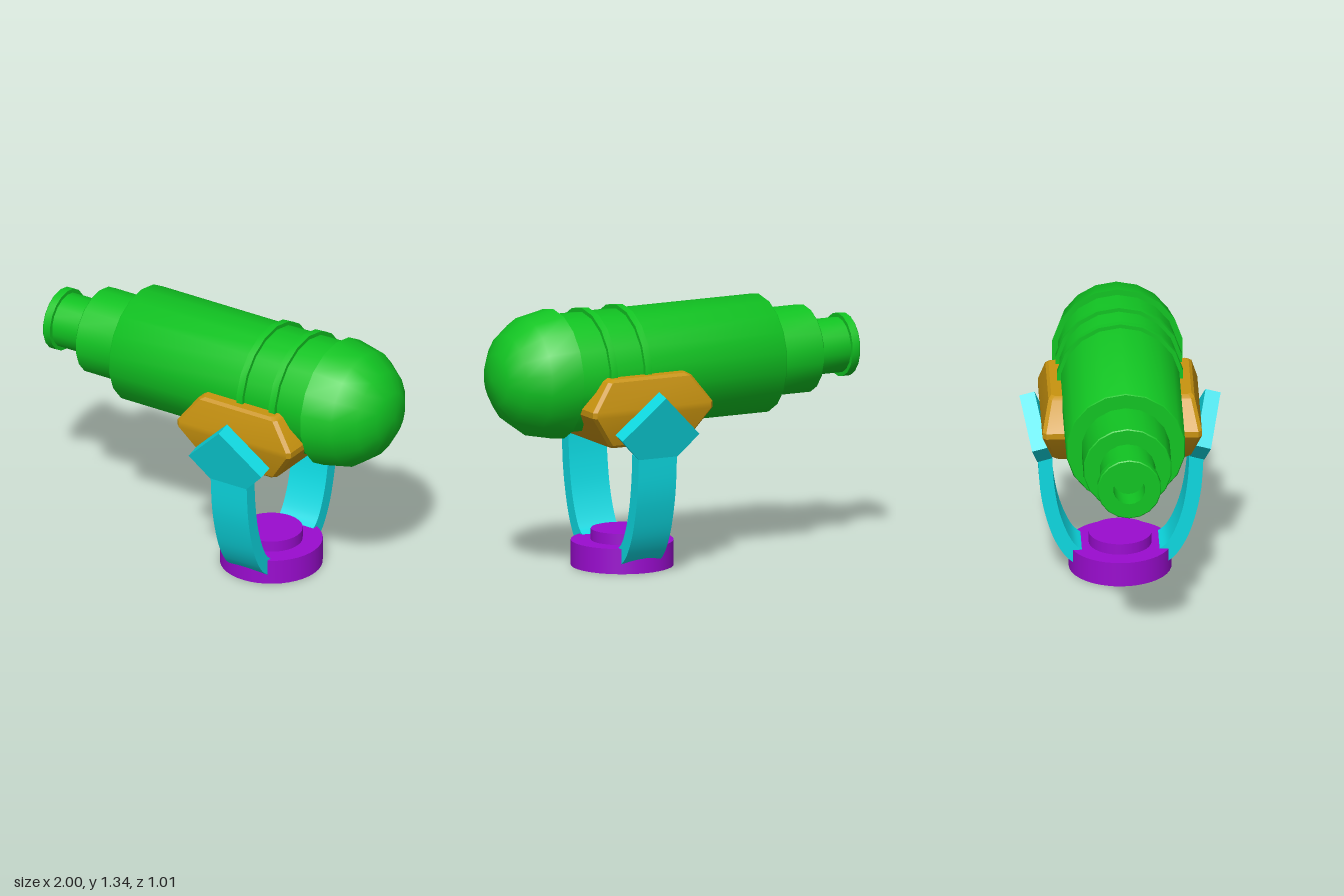
import * as THREE from 'three';
import { toCreasedNormals } from 'three/addons/utils/BufferGeometryUtils.js';

const paint = (color) => new THREE.MeshStandardMaterial({ color });
const GREEN = paint(0x11c422), ORANGE = paint(0xc8930f), CYAN = paint(0x0cd8e0), PURPLE = paint(0x9a0ccf);

function part(name, geometry, material) {
  const mesh = new THREE.Mesh(geometry, material);
  mesh.name = name;
  return mesh;
}

// Turned part lying along x, from [x, radius] pairs
function turned(name, profile) {
  const pts = profile.map(([x, r]) => new THREE.Vector2(r, x));
  const geo = new THREE.LatheGeometry(pts, 18, Math.PI / 2);
  geo.rotateZ(-Math.PI / 2).translate(0, 1.005, 0);
  return part(name, toCreasedNormals(geo, 0.72), GREEN);
}

// Stack of corner-cut rectangles: rows of [y, half x, half z]
function loftedBlock(rows, cut) {
  const pos = [], idx = [];
  for (const [y, a, b] of rows) {
    const ring = [[a, b - cut], [a - cut, b], [cut - a, b], [-a, b - cut],
      [-a, cut - b], [cut - a, -b], [a - cut, -b], [a, cut - b]];
    for (const [x, z] of ring) pos.push(x, y, z);
  }
  const n = 8, last = (rows.length - 1) * n;
  for (let r = 0; r < last; r += n) {
    for (let i = 0; i < n; i++) {
      const j = (i + 1) % n;
      idx.push(r + i, r + n + i, r + j, r + j, r + n + i, r + n + j);
    }
  }
  for (let i = 1; i < n - 1; i++) {
    idx.push(0, i, i + 1, last, last + i + 1, last + i);
  }
  const geo = new THREE.BufferGeometry();
  geo.setAttribute('position', new THREE.Float32BufferAttribute(pos, 3));
  geo.setIndex(idx);
  return toCreasedNormals(geo, 0.4);
}

// One side of the fork: curved arm and tilted pointed plate
function forkSide(name) {
  const side = new THREE.Group();
  side.name = name;
  const spline = (pts) => new THREE.SplineCurve(pts.map(([z, y]) => new THREE.Vector2(z, y))).getPoints(20);
  const outer = spline([[0.225, 0.05], [0.28, 0.1], [0.337, 0.2], [0.378, 0.33], [0.402, 0.46], [0.413, 0.62]]);
  const inner = spline([[0.342, 0.63], [0.334, 0.5], [0.312, 0.36], [0.278, 0.25], [0.235, 0.165], [0.19, 0.125]]);
  const arm = new THREE.ExtrudeGeometry(new THREE.Shape([...outer, ...inner]), { depth: 0.215, bevelEnabled: false });
  arm.translate(0, 0, -0.1075).rotateY(-Math.PI / 2);
  side.add(part('forkArm', toCreasedNormals(arm, 0.5), CYAN));

  const outline = [[-0.108, 0], [0.108, 0], [0.217, 0.113], [0, 0.33], [-0.217, 0.113]];
  const shape = new THREE.Shape(outline.map(([x, y]) => new THREE.Vector2(x, y)));
  const plate = part('forkPlate', new THREE.ExtrudeGeometry(shape, { depth: 0.078, bevelEnabled: false }), CYAN);
  plate.rotation.x = THREE.MathUtils.degToRad(15);
  plate.position.set(0, 0.635, 0.342);
  side.add(plate);
  side.position.x = 0.278;
  return side;
}

export function createModel() {
  const model = new THREE.Group();
  model.name = 'mountedCannon';

  // Stepped barrel with a bore at the narrow end and a domed cap
  model.add(turned('barrel', [
    [-0.88, 0], [-0.88, 0.08], [-1, 0.08], [-1, 0.155], [-0.995, 0.16], [-0.955, 0.16], [-0.955, 0.14],
    [-0.765, 0.14], [-0.765, 0.217], [-0.76, 0.222], [-0.515, 0.222], [-0.515, 0.295], [-0.508, 0.3],
    [0.65, 0.3], [0.65, 0],
  ]));
  model.add(turned('domedCap', [
    [0.65, 0], [0.65, 0.33], [0.81, 0.298], [0.915, 0.222], [0.975, 0.13], [1, 0],
  ]));
  for (const x of [0.278, 0.471]) {
    model.add(turned('barrelBand', [
      [x - 0.018, 0.28], [x - 0.018, 0.32], [x + 0.018, 0.32], [x + 0.018, 0.28],
    ]));
  }

  // Cradle block under the barrel
  const cradle = part('cradle', loftedBlock([
    [0.67, 0.205, 0.33], [0.685, 0.225, 0.348], [0.84, 0.338, 0.398],
    [0.87, 0.338, 0.398], [1.008, 0.235, 0.365], [1.022, 0.212, 0.35],
  ], 0.018), ORANGE);
  cradle.position.x = 0.29;
  model.add(cradle);

  // Fork sides, front and back
  const back = forkSide('backFork');
  back.rotation.y = Math.PI;
  model.add(forkSide('frontFork'), back);

  // Two-step round foot
  for (const [name, r, y0, y1] of [['base', 0.257, 0, 0.128], ['basePivot', 0.157, 0.12, 0.185]]) {
    const disc = part(name, new THREE.CylinderGeometry(r, r, y1 - y0, 40), PURPLE);
    disc.position.set(0.262, (y0 + y1) / 2, 0);
    model.add(disc);
  }
  return model;
}
